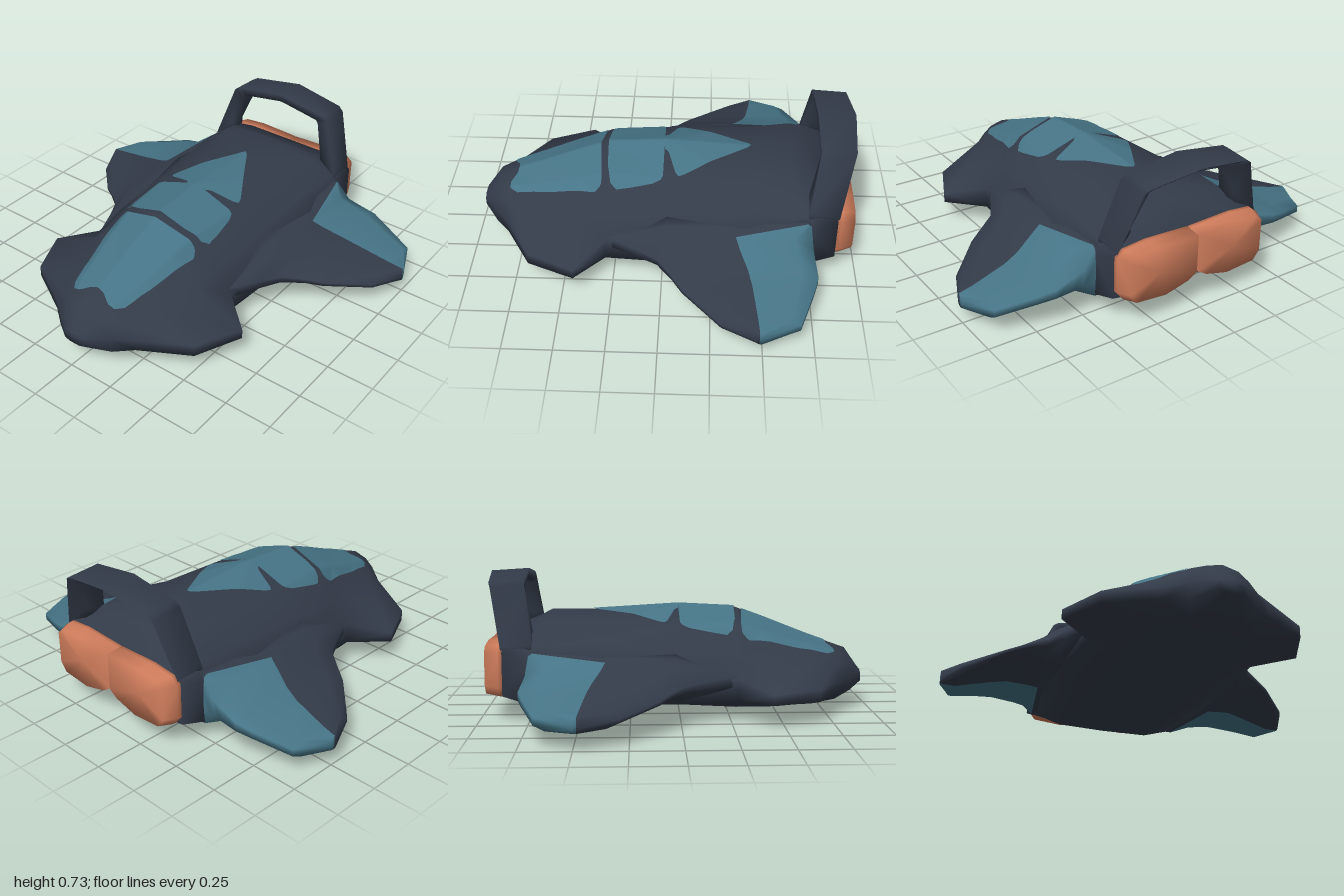
import * as THREE from 'three';

const hullPaint = new THREE.MeshStandardMaterial({ color: 0x333b49 });
hullPaint.name = 'dark slate';
const panelPaint = new THREE.MeshStandardMaterial({ color: 0x467486 });
panelPaint.name = 'teal';
const enginePaint = new THREE.MeshStandardMaterial({ color: 0xce7c5b });
enginePaint.name = 'copper';

// Joins closed rings of [x, y, z] into a capped solid; paint(ring, side) gives the material index
function loft(rings, paint = () => 0) {
  const n = rings[0].length, last = rings.length - 1;
  const pos = rings.flat();
  const faces = [[], []];
  for (let i = 0; i < last; i++) {
    for (let j = 0; j < n; j++) {
      const a = i * n + j, b = i * n + (j + 1) % n, c = a + n, d = b + n;
      const quad = j < n / 2 ? [a, b, d, a, d, c] : [a, b, c, b, d, c];
      faces[paint(i, j)].push(...quad);
    }
  }
  for (const i of [0, last]) {
    const middle = [0, 1, 2].map(k => rings[i].reduce((s, p) => s + p[k], 0) / n);
    pos.push(middle);
    for (let j = 0; j < n; j++) {
      const a = i * n + j, b = i * n + (j + 1) % n;
      faces[paint(Math.min(i, last - 1), j)].push(pos.length - 1, ...(i ? [a, b] : [b, a]));
    }
  }
  // Turn every face outward
  const index = faces.flat();
  const v = k => new THREE.Vector3(...pos[index[k]]);
  let volume = 0;
  for (let k = 0; k < index.length; k += 3) volume += v(k).dot(v(k + 1).cross(v(k + 2)));
  if (volume < 0) {
    for (let k = 0; k < index.length; k += 3) [index[k], index[k + 1]] = [index[k + 1], index[k]];
  }
  const geo = new THREE.BufferGeometry();
  geo.setAttribute('position', new THREE.Float32BufferAttribute(pos.flat(), 3));
  geo.setIndex(index);
  geo.addGroup(0, faces[0].length, 0);
  if (faces[1].length) geo.addGroup(faces[0].length, faces[1].length, 1);
  geo.computeVertexNormals();
  return geo;
}

function addMesh(parent, name, geo, material) {
  const mesh = new THREE.Mesh(geo, material);
  mesh.name = name;
  parent.add(mesh);
  return mesh;
}

// Linear lookup in a list of [x, value]
function lookup(table, x) {
  for (let i = 1; i < table.length; i++) {
    const [x0, y0] = table[i - 1], [x1, y1] = table[i];
    if (x <= x1) return y0 + (y1 - y0) * (x - x0) / (x1 - x0);
  }
  return table[table.length - 1][1];
}

// Fuselage: z, top, shoulder, side, upper edge, lower edge, belly, keel
const hullSections = [
  [0.97, 0.185, [0.03, 0.185], [0.05, 0.175], [0.06, 0.165], [0.06, 0.13], [0.03, 0.12], 0.12],
  [0.89, 0.30, [0.08, 0.28], [0.13, 0.24], [0.17, 0.18], [0.17, 0.10], [0.08, 0.075], 0.07],
  [0.82, 0.325, [0.12, 0.295], [0.19, 0.24], [0.26, 0.17], [0.26, 0.11], [0.13, 0.045], 0.03],
  [0.68, 0.375, [0.15, 0.335], [0.28, 0.255], [0.51, 0.17], [0.51, 0.11], [0.22, 0.04], 0.022],
  [0.44, 0.47, [0.19, 0.41], [0.34, 0.285], [0.62, 0.165], [0.62, 0.115], [0.25, 0.035], 0.01],
  [0.29, 0.525, [0.21, 0.455], [0.34, 0.31], [0.44, 0.21], [0.44, 0.10], [0.24, 0.03], 0],
  [0, 0.54, [0.24, 0.455], [0.36, 0.34], [0.48, 0.25], [0.46, 0.10], [0.24, 0.045], 0.035],
  [-0.42, 0.515, [0.24, 0.465], [0.38, 0.38], [0.46, 0.32], [0.46, 0.09], [0.24, 0.04], 0.035],
  [-0.66, 0.515, [0.28, 0.47], [0.40, 0.375], [0.44, 0.31], [0.44, 0.09], [0.26, 0.04], 0.035],
  [-0.75, 0.46, [0.30, 0.445], [0.40, 0.37], [0.43, 0.30], [0.43, 0.09], [0.26, 0.04], 0.035],
  [-0.88, 0.40, [0.25, 0.40], [0.38, 0.38], [0.42, 0.35], [0.42, 0.13], [0.25, 0.105], 0.11],
];

function hullRing([z, top, ...rest]) {
  const keel = rest.pop();
  const left = rest.map(([x, y]) => [x, y, z]);
  const right = rest.map(([x, y]) => [-x, y, z]).reverse();
  return [[0, top, z], ...left, [0, keel, z], ...right];
}

// Wing: x, leading z, paint line z, trailing z, top y, bottom y
const wingStations = [
  [0.36, 0.28, -0.73, -0.75, 0.37, 0.08],
  [0.43, 0.28, -0.73, -0.755, 0.345, 0.08],
  [0.50, 0.13, -0.37, -0.76, 0.31, 0.09],
  [0.56, 0.02, -0.39, -0.765, 0.28, 0.105],
  [0.66, -0.055, -0.43, -0.775, 0.235, 0.125],
  [0.74, -0.11, -0.45, -0.75, 0.208, 0.115],
  [0.925, -0.30, -0.475, -0.68, 0.165, 0.075],
  [1.0, -0.465, -0.482, -0.50, 0.152, 0.08],
];

function wingRing([x, lead, line, trail, top, bottom], side) {
  const h = top - bottom, front = (lead - line) * 0.3, back = (line - trail) * 0.25;
  return [
    [lead, bottom + h * 0.55], [lead - front, top - h * 0.12],
    [line, top], [trail + back, top - h * 0.05],
    [trail, top - h * 0.3], [trail, bottom + h * 0.3],
    [trail + back, bottom], [line, bottom],
    [lead - front, bottom + h * 0.1], [lead, bottom + h * 0.35],
  ].map(([z, y]) => [x * side, y, z]);
}

// Tail hoop: outer x y, inner x y, front z, back z
const hoopHalf = [
  [0.41, 0.33, 0.30, 0.42, -0.73, -0.88],
  [0.402, 0.38, 0.305, 0.46, -0.735, -0.89],
  [0.31, 0.67, 0.25, 0.635, -0.775, -0.945],
  [0.28, 0.69, 0.235, 0.65, -0.778, -0.955],
  [0, 0.73, 0, 0.688, -0.78, -0.975],
];

// Engine outline on the left side, x and y
const engineOutline = [
  [0.003, 0.385], [0.25, 0.395], [0.38, 0.382], [0.42, 0.35], [0.42, 0.17],
  [0.38, 0.12], [0.2, 0.105], [0.06, 0.14], [0.003, 0.175],
];

// Canopy panels: front and rear edge as z against distance from the centre line
const canopyPanels = [
  { name: 'frontCanopy', width: 0.255,
    front: [[0, 0.78], [0.04, 0.785], [0.09, 0.815], [0.13, 0.815], [0.165, 0.77], [0.215, 0.55], [0.255, 0.36]],
    rear: [[0, 0.335], [0.2, 0.318], [0.24, 0.32], [0.255, 0.35]] },
  { name: 'middleCanopy', width: 0.265,
    front: [[0, 0.295], [0.15, 0.29], [0.24, 0.272], [0.265, 0.24]],
    rear: [[0, 0], [0.22, 0.003], [0.25, 0.02], [0.265, 0.18]] },
  { name: 'rearCanopy', width: 0.22,
    front: [[0, 0], [0.06, 0], [0.075, -0.02], [0.2, -0.06], [0.22, -0.075]],
    rear: [[0, -0.45], [0.02, -0.43], [0.215, -0.1], [0.22, -0.08]] },
];

// Thin sheet laid over the hull
function canopyGeometry(hull, { width, front, rear }) {
  const cols = 44, rows = 24, pos = [], index = [];
  const ray = new THREE.Raycaster();
  const down = new THREE.Vector3(0, -1, 0);
  for (let i = 0; i <= cols; i++) {
    const x = width * (2 * i / cols - 1), d = Math.abs(x);
    const z0 = lookup(rear, d), z1 = lookup(front, d);
    for (let j = 0; j <= rows; j++) {
      const z = z0 + (z1 - z0) * j / rows;
      ray.set(new THREE.Vector3(x + 1e-5, 2, z + 1e-5), down);
      const hit = ray.intersectObject(hull)[0];
      pos.push(x, (hit ? hit.point.y : 0.4) + 0.005, z);
      if (i < cols && j < rows) {
        const a = i * (rows + 1) + j, b = a + rows + 1;
        index.push(a, a + 1, b, b, a + 1, b + 1);
      }
    }
  }
  const geo = new THREE.BufferGeometry();
  geo.setAttribute('position', new THREE.Float32BufferAttribute(pos, 3));
  geo.setIndex(index);
  geo.computeVertexNormals();
  return geo;
}

export function createModel() {
  const model = new THREE.Group();
  model.name = 'spacecraft';

  const hull = addMesh(model, 'fuselage', loft(hullSections.map(hullRing)), hullPaint);
  hull.updateMatrixWorld(true);
  for (const panel of canopyPanels) {
    addMesh(model, panel.name, canopyGeometry(hull, panel), panelPaint);
  }

  for (const [side, label] of [[1, 'left'], [-1, 'right']]) {
    // Wing, painted behind the paint line
    const wing = loft(wingStations.map(s => wingRing(s, side)),
      (i, j) => (i > 0 && j >= 2 && j < 7 ? 1 : 0));
    addMesh(model, label + 'Wing', wing, [hullPaint, panelPaint]);

    // Engine block, tapering to the rear
    const engineRing = (z, s) => engineOutline.map(
      ([x, y]) => [side * (x < 0.01 ? x : x * s), 0.25 + (y - 0.25) * s, z]);
    const engine = loft([engineRing(-0.86, 0.99), engineRing(-0.9, 0.985), engineRing(-0.97, 0.915)]);
    addMesh(model, label + 'Engine', engine, enginePaint);
  }

  // Tail hoop, mirrored about the centre
  const hoopStations = [...hoopHalf,
    ...hoopHalf.slice(0, -1).reverse().map(([a, b, c, ...r]) => [-a, b, -c, ...r])];
  const hoop = loft(hoopStations.map(([ox, oy, ix, iy, zf, zb]) => [
    [ox, oy, zf], [ox, oy - 0.012, zb], [ix, iy, zb + 0.04], [ix, iy, zf - 0.005],
  ]));
  addMesh(model, 'tailHoop', hoop, hullPaint);

  return model;
}
